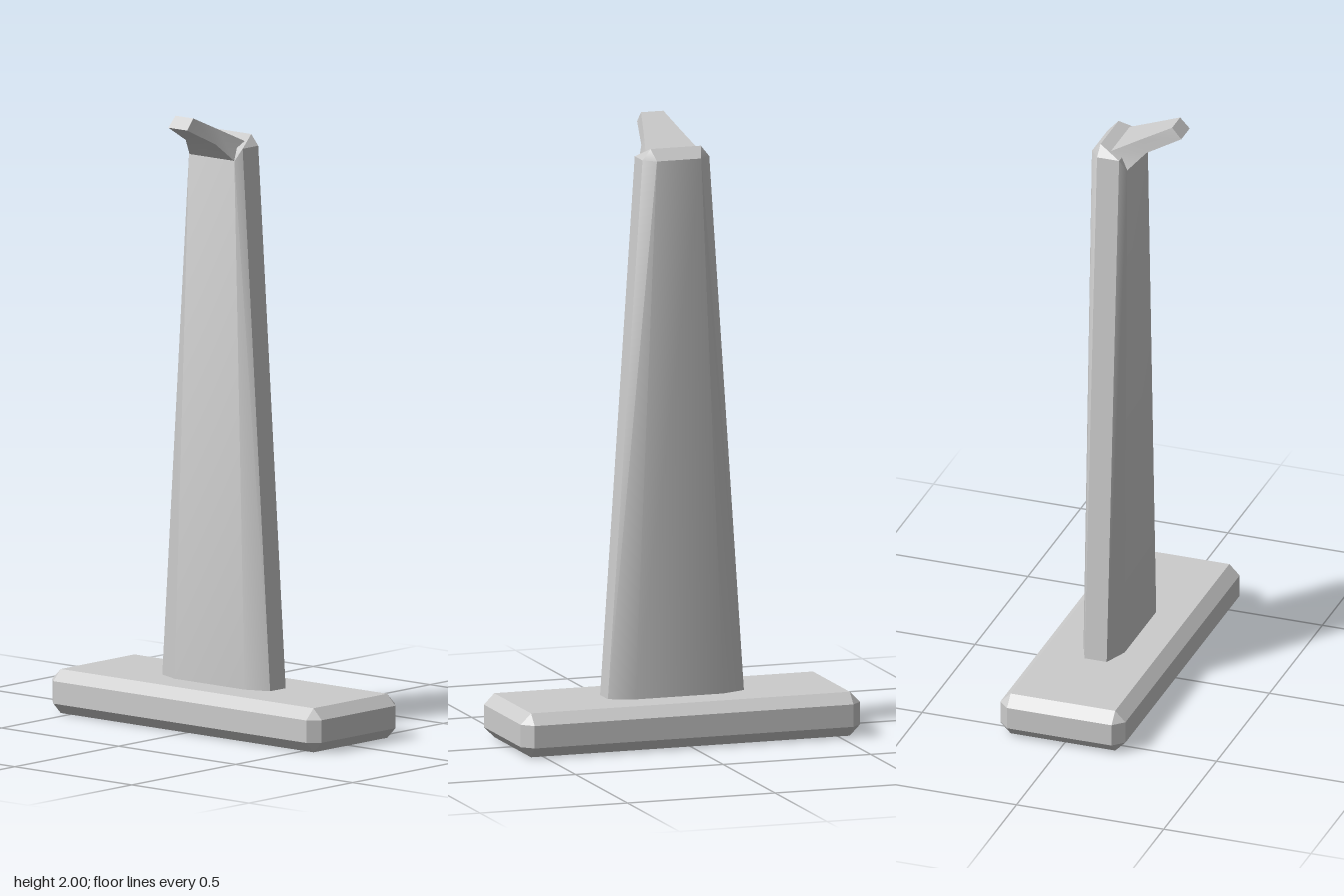
import * as THREE from 'three';
import { toCreasedNormals } from 'three/addons/utils/BufferGeometryUtils.js';
import { ConvexGeometry } from 'three/addons/geometries/ConvexGeometry.js';

const material = new THREE.MeshStandardMaterial({ color: 0xcccccc });

function addPart(group, name, geometry) {
  const mesh = new THREE.Mesh(toCreasedNormals(geometry, THREE.MathUtils.degToRad(30)), material);
  mesh.name = name;
  group.add(mesh);
  return mesh;
}

// Hull of points mirrored across x = 0
function mirroredHull(points) {
  const all = [];
  for (const [x, y, z] of points) for (const s of [-1, 1]) all.push(new THREE.Vector3(s * x, y, z));
  return new ConvexGeometry(all);
}

// Box with every edge cut at 45 degrees
function chamferedBox(w, h, d, c) {
  const points = [];
  for (const sx of [-1, 1]) for (const sy of [-1, 1]) for (const sz of [-1, 1]) {
    for (let axis = 0; axis < 3; axis++) {
      const half = [w / 2, h / 2, d / 2].map((v, i) => (i === axis ? v : v - c));
      points.push(new THREE.Vector3(sx * half[0], sy * half[1], sz * half[2]));
    }
  }
  return new ConvexGeometry(points);
}

// Loft of four-sided sections, each given as top and bottom [halfWidth, y, z]
function loftSections(sections) {
  const positions = [], index = [];
  for (const [t, b] of sections) {
    positions.push(t[0], t[1], t[2], -t[0], t[1], t[2], -b[0], b[1], b[2], b[0], b[1], b[2]);
  }
  for (let s = 0; s < sections.length - 1; s++) {
    for (let i = 0; i < 4; i++) {
      const a = s * 4 + i, b = s * 4 + (i + 1) % 4;
      index.push(a, b, b + 4, a, b + 4, a + 4);
    }
  }
  const e = (sections.length - 1) * 4;
  index.push(0, 3, 2, 0, 2, 1, e, e + 1, e + 2, e, e + 2, e + 3);
  const geometry = new THREE.BufferGeometry();
  geometry.setAttribute('position', new THREE.Float32BufferAttribute(positions, 3));
  geometry.setIndex(index);
  geometry.computeVertexNormals();
  return geometry;
}

export function createModel() {
  const group = new THREE.Group();
  group.name = 'hookStand';

  // Foot plate
  addPart(group, 'base', chamferedBox(1.15, 0.143, 0.425, 0.035)).position.set(0, 0.0715, -0.0075);

  // Tapered eight-sided post with a ridged top
  addPart(group, 'post', mirroredHull([
    [0.232, 0.12, -0.045], [0.232, 0.12, 0.03], [0.15, 0.12, 0.062], [0.15, 0.12, -0.078],
    [0.113, 1.89, -0.045], [0.113, 1.89, 0.03], [0.097, 1.85, 0.052], [0.075, 1.89, -0.076],
    [0.085, 1.925, -0.043], [0.09, 1.906, -0.01],
  ]));

  // Hook rising forward from the top of the post
  addPart(group, 'hook', loftSections([
    [[0.09, 1.906, -0.01], [0.096, 1.85, 0.05]],
    [[0.062, 1.955, 0.09], [0.064, 1.908, 0.105]],
    [[0.038, 2.0, 0.183], [0.04, 1.965, 0.215]],
  ]));

  return group;
}
